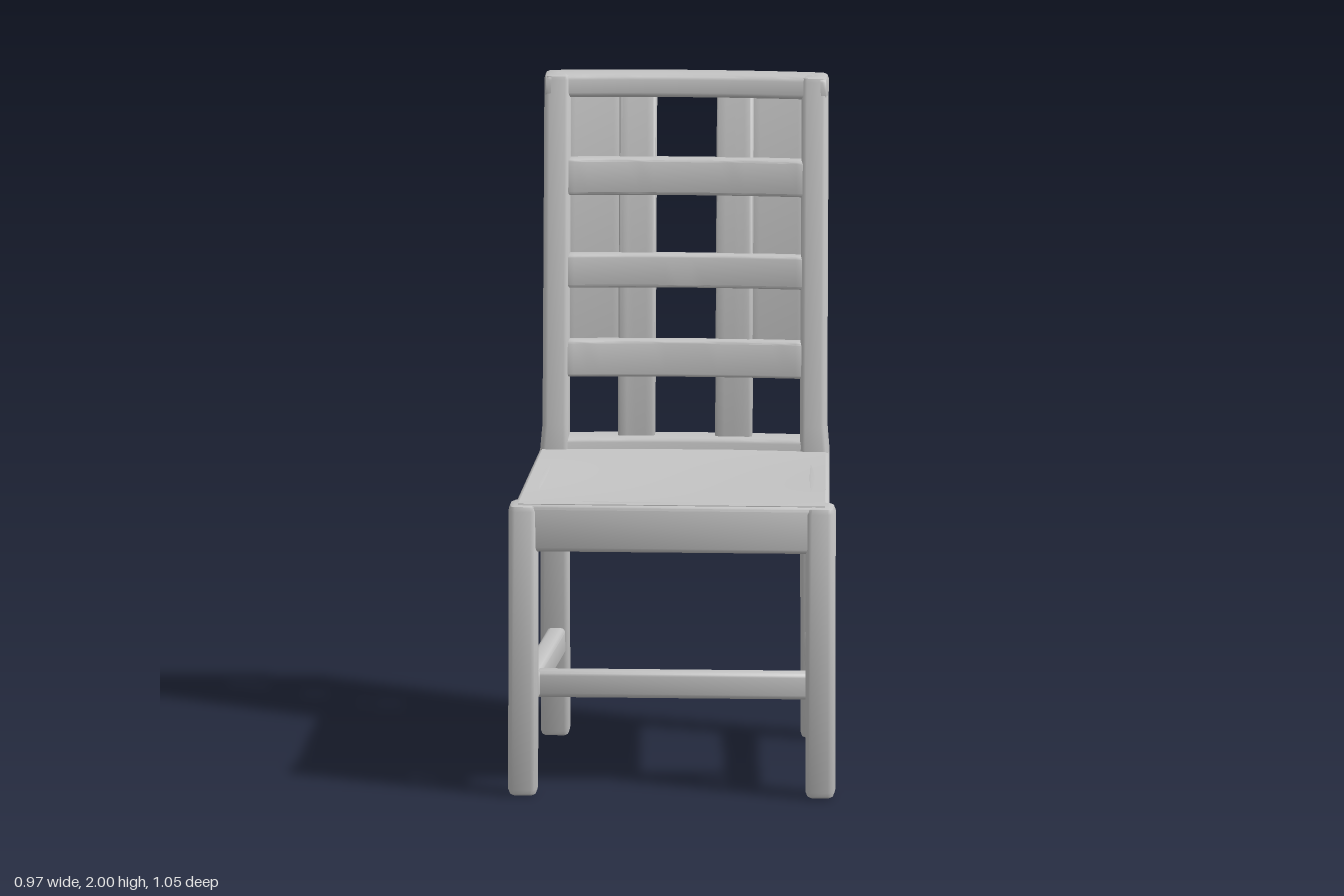
import * as THREE from 'three';
import { toCreasedNormals } from 'three/addons/utils/BufferGeometryUtils.js';

// Axis maps: each section is [s, u0, u1, v0, v1], s running along the named axis
const alongX = (u, v, s) => [s, u, v];
const alongY = (u, v, s) => [v, s, u];
const alongZ = (u, v, s) => [u, v, s];

// Loft a rounded-rectangle bar through sections, with softened ends
function loft(sections, map, r = 0.014) {
  const first = sections[0], last = sections[sections.length - 1];
  const rings = [[first, 0, r], [[first[0] + r * 0.3, ...first.slice(1)], 0, r * 0.3]];
  sections.slice(1, -1).forEach((s) => rings.push([s, 0, 0]));
  rings.splice(2, 0, [[first[0] + r, ...first.slice(1)], 0, 0]);
  rings.push([[last[0] - r, ...last.slice(1)], 0, 0]);
  rings.push([[last[0] - r * 0.3, ...last.slice(1)], 0, r * 0.3], [last, 0, r]);
  const pos = [], idx = [], N = 16;
  for (const [[s, u0, u1, v0, v1], , inset] of rings) {
    for (let c = 0; c < 4; c++) {
      const right = c === 0 || c === 3, top = c < 2;
      for (let k = 0; k < 4; k++) {
        const a = (c + k / 3) * Math.PI / 2;
        const rr = r - inset * 0.9;
        const u = (right ? u1 - r : u0 + r) + Math.cos(a) * rr;
        const v = (top ? v1 - r : v0 + r) + Math.sin(a) * rr;
        pos.push(...map(u, v, s));
      }
    }
  }
  for (let i = 0; i < rings.length - 1; i++) {
    for (let j = 0; j < N; j++) {
      const a = i * N + j, b = i * N + (j + 1) % N;
      idx.push(a, b, b + N, a, b + N, a + N);
    }
  }
  const e = (rings.length - 1) * N;
  for (let j = 1; j < N - 1; j++) idx.push(0, j + 1, j, e, e + j, e + j + 1);
  const g = new THREE.BufferGeometry();
  g.setAttribute('position', new THREE.Float32BufferAttribute(pos, 3));
  g.setIndex(idx);
  return toCreasedNormals(g, 0.7);
}

// Leaning, gently bowed surface of the backrest
const frontZ = (y) => -0.29 - 0.13 * (y - 0.88) / 1.12;
const bow = (x) => 0.022 * (1 - (x / 0.42) ** 2);
const onBack = (u, v, s) => [s, u, frontZ(u) - bow(s) + v];

export function createModel() {
  const chair = new THREE.Group();
  chair.name = 'chair';
  const grey = new THREE.MeshStandardMaterial({ color: 0xc4c4c4 });
  grey.name = 'plain grey';
  const add = (name, geometry) => {
    const m = new THREE.Mesh(geometry, grey);
    m.name = name;
    chair.add(m);
  };
  const span = (side, a, b) => (side > 0 ? [a, b] : [-b, -a]);

  // Bar in the backrest: x range, y range, depth range behind the front surface
  const backBar = (name, x0, x1, y0, y1, t0, t1, r = 0.01) => {
    const sections = [];
    const n = Math.max(4, Math.round((x1 - x0) / 0.04));
    for (let i = 0; i <= n; i++) sections.push([x0 + (x1 - x0) * i / n, y0, y1, -t1, -t0]);
    add(name, loft(sections, onBack, r));
  };

  for (const side of [1, -1]) {
    const label = side > 0 ? 'left' : 'right';
    // Legs; each back leg runs up into the backrest post
    const f = span(side, 0.4, 0.487);
    add(label + 'FrontLeg', loft([[0, 0.428, 0.522, ...f], [0.885, 0.41, 0.512, ...f]], alongY, 0.02));
    const b = span(side, 0.345, 0.43), t = span(side, 0.345, 0.423);
    add(label + 'BackLegAndPost', loft([
      [0, -0.45, -0.352, ...b], [0.7, -0.402, -0.3, ...b], [0.78, -0.4, -0.294, ...b],
      [0.88, -0.402, -0.29, ...b], [0.96, -0.41, -0.299, ...t], [2, -0.503, -0.42, ...t],
    ], alongY, 0.016));
    // Side seat rail and stretcher, splayed towards the front
    add(label + 'SeatRail', loft([
      [-0.39, ...span(side, 0.36, 0.43), 0.742, 0.885],
      [0.48, ...span(side, 0.4, 0.47), 0.742, 0.885],
    ], alongZ));
    add(label + 'Stretcher', loft([
      [-0.36, ...span(side, 0.355, 0.41), 0.25, 0.335],
      [0.46, ...span(side, 0.41, 0.465), 0.26, 0.342],
    ], alongZ));
    // Upright slat and the closed panel between slat and post
    backBar(label + 'Slat', ...span(side, 0.09, 0.2), 0.88, 1.96, 0.03, 0.095);
    backBar(label + 'BackPanel', ...span(side, 0.18, 0.37), 1.1, 1.96, 0.06, 0.092);
  }

  // Front rail and cross stretcher
  add('frontSeatRail', loft([[-0.46, 0.742, 0.885, 0.43, 0.506], [0.46, 0.742, 0.885, 0.43, 0.506]], alongX));
  add('crossStretcher', loft([[-0.43, 0.257, 0.338, 0.25, 0.31], [0.43, 0.257, 0.338, 0.25, 0.31]], alongX));

  // Backrest rails
  backBar('backSeatRail', -0.4, 0.4, 0.742, 0.92, 0.0, 0.1, 0.014);
  backBar('topRail', -0.423, 0.423, 1.93, 2, 0, 0.088, 0.016);
  for (const [y0, y1] of [[1.1, 1.21], [1.365, 1.465], [1.64, 1.75]]) {
    backBar('ladderRail', -0.37, 0.37, y0, y1, 0, 0.045);
  }

  // Tapered seat panel with a shallow dish
  const seat = new THREE.BoxGeometry(2, 0.06, 0.8, 28, 1, 28);
  const p = seat.attributes.position;
  for (let i = 0; i < p.count; i++) {
    const u = p.getX(i), k = p.getZ(i) / 0.4;
    const dish = 0.014 * (1 - u * u) * (1 - k * k);
    p.setXYZ(i, u * (0.44 + 0.018 * k), 0.857 + p.getY(i) - dish, 0.092 + k * 0.402);
  }
  add('seatPanel', toCreasedNormals(seat, 0.7));

  return chair;
}
